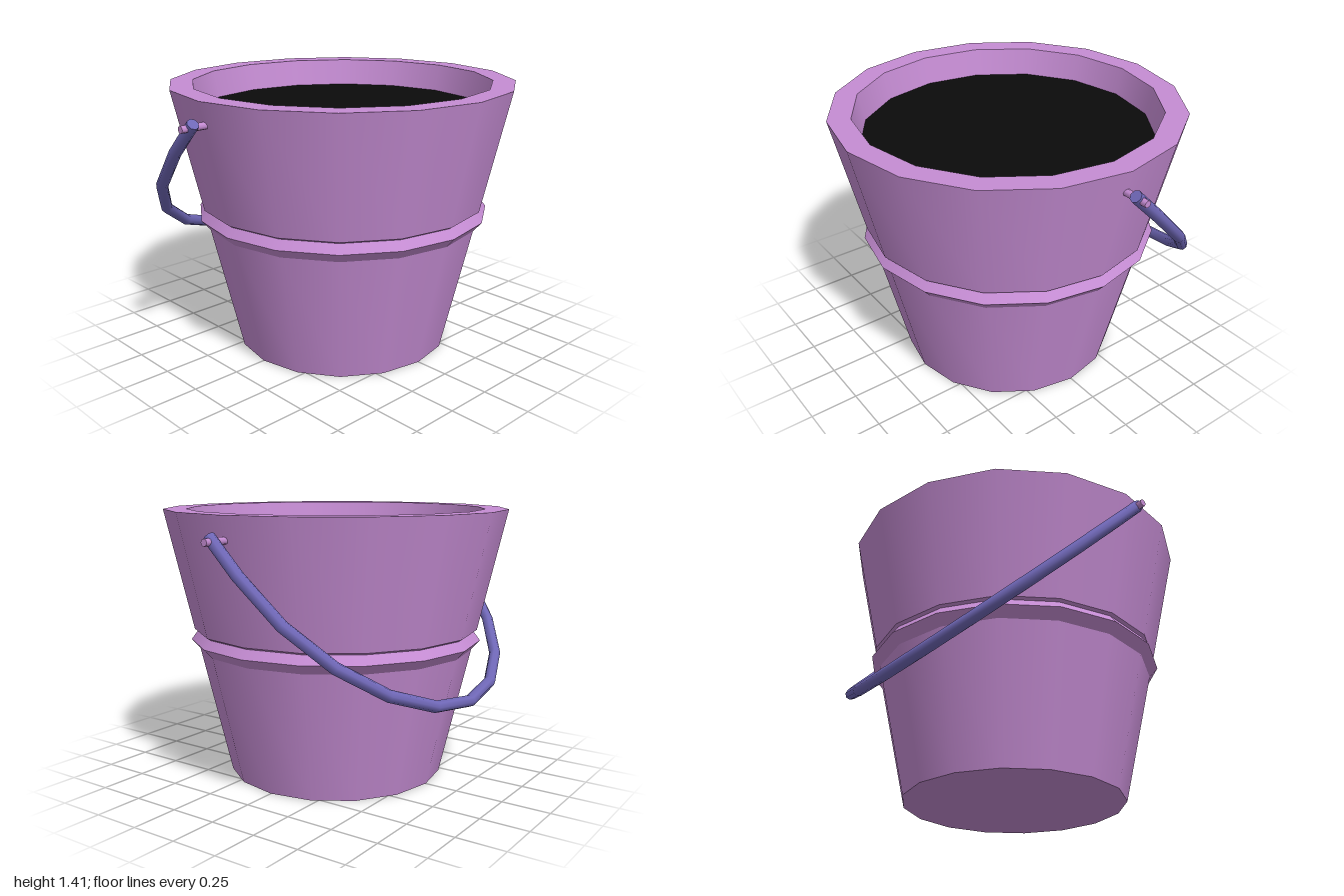
import * as THREE from 'three';
import { mergeGeometries } from 'three/addons/utils/BufferGeometryUtils.js';

const SIDES = 16;

function material(name, color, side = THREE.FrontSide) {
  const m = new THREE.MeshStandardMaterial({ color, side });
  m.name = name;
  return m;
}

// Lathe each profile segment separately: smooth around, sharp between segments.
function creasedLathe(profile) {
  const parts = [];
  for (let i = 0; i < profile.length - 1; i++) {
    const pair = [profile[i], profile[i + 1]].map(([r, y]) => new THREE.Vector2(r, y));
    parts.push(new THREE.LatheGeometry(pair, SIDES));
  }
  return mergeGeometries(parts);
}

// Faceted path that passes exactly through its corner points.
class Polyline extends THREE.Curve {
  constructor(points) {
    super();
    this.points = points;
  }
  getPointAt(u, target = new THREE.Vector3()) {
    return target.copy(this.points[Math.round(u * (this.points.length - 1))]);
  }
  getTangentAt(u, target = new THREE.Vector3()) {
    const p = this.points, i = Math.round(u * (p.length - 1));
    const a = p[Math.max(i - 1, 0)], b = p[i], c = p[Math.min(i + 1, p.length - 1)];
    const before = b.clone().sub(a).normalize();
    return target.copy(c).sub(b).normalize().add(before).normalize();
  }
}

export function createModel() {
  const purple = material('purple', 0xc58cd3);
  const blue = material('blue', 0x7068b8);
  const black = material('black', 0x0a0a0a);
  const group = new THREE.Group();
  group.name = 'bucket';

  const add = (parent, name, geometry, mat) => {
    const mesh = new THREE.Mesh(geometry, mat);
    mesh.name = name;
    parent.add(mesh);
    return mesh;
  };

  // Bucket shell: base, wall with raised band, rim and inner wall
  add(group, 'bucketShell', creasedLathe([
    [0, 0], [0.572, 0], [0.728, 0.68], [0.772, 0.73], [0.738, 0.775],
    [0.754, 0.785], [0.895, 1.41], [0.778, 1.41], [0.746, 1.265],
  ]), purple);

  // Dark filling just below the rim
  add(group, 'filling', creasedLathe([[0.75, 1.268], [0, 1.268]]), black);

  // Pins that hold the handle
  for (const side of [1, -1]) {
    const pin = add(group, side > 0 ? 'leftPin' : 'rightPin',
      new THREE.CylinderGeometry(0.018, 0.018, 0.18, 8), purple);
    pin.rotation.z = Math.PI / 2;
    pin.position.set(side * 0.91, 1.295, 0);
  }

  // Handle: straight ends joined by a faceted half circle, swung to the back
  const handle = new THREE.Group();
  handle.name = 'handle';
  const R = 0.945, drop = 0.2, tube = 0.03;
  const points = [new THREE.Vector3(R, 0.03, 0)];
  for (let i = 0; i <= 10; i++) {
    const a = (i / 10) * Math.PI;
    points.push(new THREE.Vector3(R * Math.cos(a), -drop - R * Math.sin(a), 0));
  }
  points.push(new THREE.Vector3(-R, 0.03, 0));
  add(handle, 'handleBar',
    new THREE.TubeGeometry(new Polyline(points), points.length - 1, tube, 8), blue);
  for (const side of [1, -1]) {
    const cap = add(handle, 'handleEnd', new THREE.CircleGeometry(tube, 8), blue);
    cap.rotation.x = -Math.PI / 2;
    cap.position.set(side * R, 0.03, 0);
  }
  handle.position.y = 1.295;
  handle.rotation.x = Math.PI / 4;
  group.add(handle);

  return group;
}
